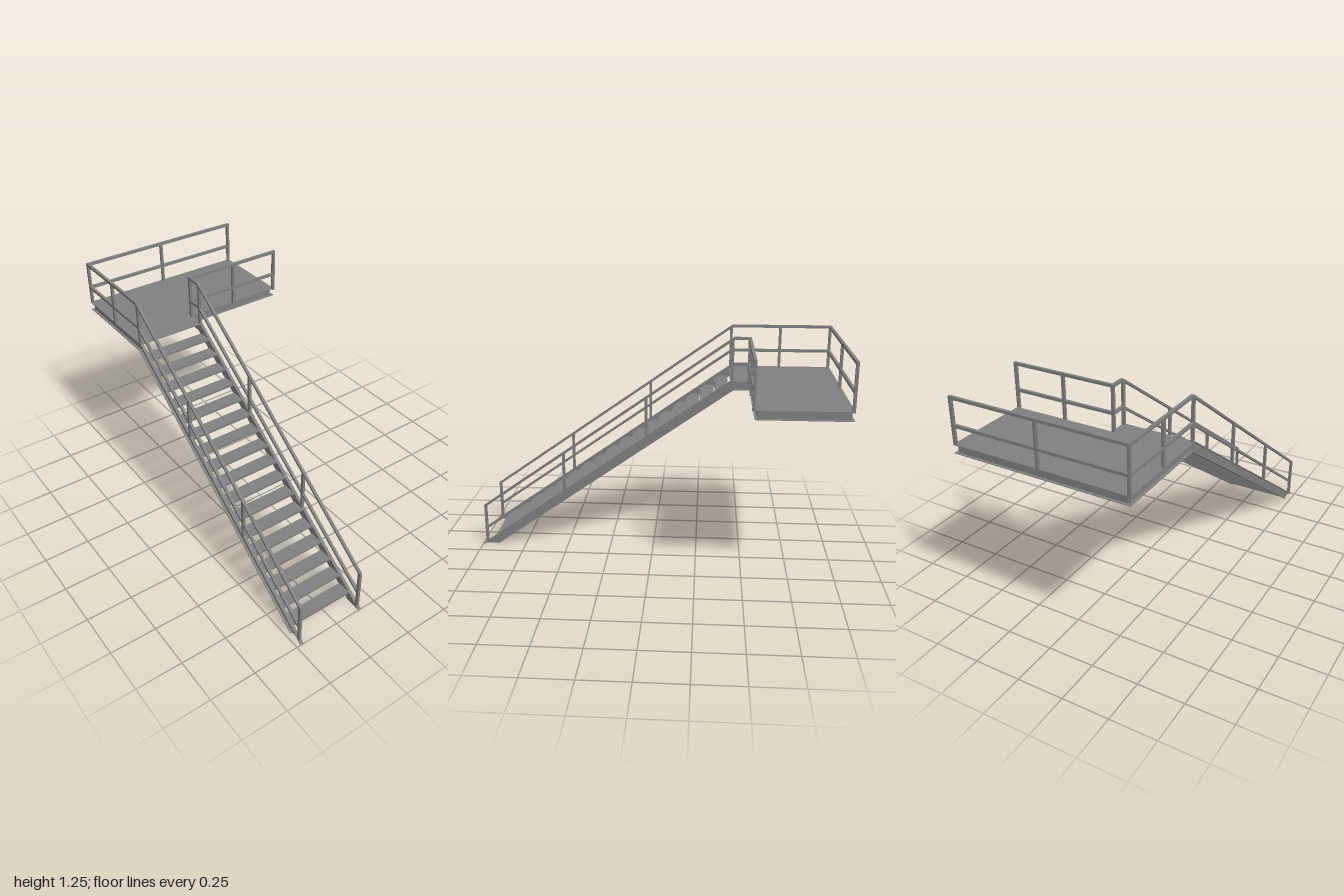
import * as THREE from 'three';

const material = new THREE.MeshStandardMaterial({ color: 0x808080, side: THREE.DoubleSide });

// Main levels and positions
const HALF = 0.476, BACK = -1, FRONT = -0.525;   // landing outline
const TOP = 1.005, UNDER = 0.957;                // landing top and underside
const FLIGHT_TOP = -0.42, SLOPE = TOP / (1 - FLIGHT_TOP);
const WEB = 0.004, FLANGE = 0.017, BAR = 0.015;
const RAIL_X = { right: -0.468, left: -0.095 };  // the two sides of the flight
const RAILS = [0.235, 0.095];                    // hand rail and knee rail heights
const RAIL_BEND = -0.437;                        // where the rails turn level

const floorAt = z => Math.min(TOP, (1 - z) * SLOPE);
const railBaseAt = z => Math.min(TOP, TOP - (z - RAIL_BEND) * SLOPE);

export function createModel() {
  const model = new THREE.Group();
  model.name = 'staircase';

  function group(name) {
    const g = new THREE.Group();
    g.name = name;
    model.add(g);
    return g;
  }

  function add(name, geometry, parent) {
    const mesh = new THREE.Mesh(geometry, material);
    mesh.name = name;
    parent.add(mesh);
  }

  // Box given by its limits
  function box(name, x0, x1, y0, y1, z0, z1, parent) {
    const g = new THREE.BoxGeometry(x1 - x0, y1 - y0, z1 - z0);
    g.translate((x0 + x1) / 2, (y0 + y1) / 2, (z0 + z1) / 2);
    add(name, g, parent);
  }

  // Side outline of [z, y] points extruded from x0 to x1
  function plate(name, points, x0, x1, parent) {
    const shape = new THREE.Shape(points.map(([z, y]) => new THREE.Vector2(-z, y)));
    const g = new THREE.ExtrudeGeometry(shape, { depth: x1 - x0, bevelEnabled: false });
    g.rotateY(Math.PI / 2).translate(x0, 0, 0);
    add(name, g, parent);
  }

  // Strip of constant vertical thickness following a [z, y] path
  function strip(name, path, t, x0, x1, parent) {
    const lower = path.map(([z, y]) => [z, y - t]).reverse();
    plate(name, [...path, ...lower], x0, x1, parent);
  }

  function post(x, z, parent) {
    const h = BAR / 2;
    box('railPost', x - h, x + h, floorAt(z) - 0.004, railBaseAt(z) + RAILS[0] - 0.002,
      z - h, z + h, parent);
  }

  // Stringers: channels with flanges facing away from the treads
  function stringer(name, webX, dir, end) {
    const parent = group(name);
    const wx = [webX, webX + dir * WEB].sort((a, b) => a - b);
    const fx = [webX, webX + dir * FLANGE].sort((a, b) => a - b);
    plate('stringerWeb', [[0.995, 0], [0.915, 0], [-0.44, UNDER], [end, UNDER],
      [end, TOP - 0.004], [FLIGHT_TOP, TOP - 0.004]], wx[0], wx[1], parent);
    plate('topFlange', [[1, 0], [FLIGHT_TOP, TOP], [FLIGHT_TOP, TOP - 0.006], [0.991, 0]],
      fx[0], fx[1], parent);
    strip('bottomFlange', [[0.915, 0.004], [-0.44, UNDER + 0.004], [end, UNDER + 0.004]],
      0.004, fx[0], fx[1], parent);
  }
  stringer('rightStringer', FLANGE - HALF, -1, BACK + FLANGE);
  stringer('leftStringer', -0.104, 1, FRONT - FLANGE);

  // Treads
  const treads = group('treads');
  for (let i = 0; i < 17; i++) {
    const y = 0.0555 * (i + 1), z = 0.918 - 0.0784 * i;
    box('tread', FLANGE - HALF, -0.104, y - 0.006, y + 0.006, z - 0.075, z, treads);
  }

  // Landing: deck plate on a frame of outward-facing channels
  const landing = group('landing');
  box('deck', -HALF, HALF, TOP - 0.005, TOP, BACK, FRONT, landing);
  box('deckExtension', -HALF, -0.087, TOP - 0.005, TOP, FRONT, FLIGHT_TOP, landing);
  const inset = HALF - FLANGE;
  box('backWeb', -inset, inset, UNDER, TOP - 0.004, BACK + FLANGE - WEB, BACK + FLANGE, landing);
  box('backFlange', -HALF, HALF, UNDER, UNDER + 0.003, BACK, BACK + FLANGE, landing);
  box('frontWeb', -inset, inset, UNDER, TOP - 0.004, FRONT - FLANGE, FRONT - FLANGE + WEB, landing);
  box('frontFlange', -inset, HALF, UNDER, UNDER + 0.003, FRONT - FLANGE, FRONT, landing);
  box('sideWeb', inset - WEB, inset, UNDER, TOP - 0.004, BACK + FLANGE, FRONT - FLANGE, landing);
  box('sideFlange', inset, HALF, UNDER, UNDER + 0.003, BACK, FRONT, landing);

  // Railings beside the flight, running level onto the landing
  function flightRailing(name, x, end, levelPosts) {
    const parent = group(name);
    const h = BAR / 2;
    for (const rise of RAILS) {
      const path = [0.982, RAIL_BEND, end - h].map(z => [z, railBaseAt(z) + rise + h]);
      strip('rail', path, BAR, x - h, x + h, parent);
    }
    for (const z of [0.975, 0.508, 0.037, -0.43, ...levelPosts]) post(x, z, parent);
  }
  flightRailing('rightRailing', RAIL_X.right, -0.992, [-0.71, -0.992]);
  flightRailing('leftRailing', RAIL_X.left, -0.52, [-0.52]);

  // Railings across the back and front of the landing
  function landingRailing(name, x0, x1, z) {
    const parent = group(name);
    const h = BAR / 2;
    for (const rise of RAILS) {
      box('rail', x0, x1 + h, TOP + rise - h, TOP + rise + h, z - h, z + h, parent);
    }
    post((x0 + x1) / 2, z, parent);
    post(x1, z, parent);
  }
  landingRailing('backRailing', RAIL_X.right, -RAIL_X.right, -0.992);
  landingRailing('frontRailing', RAIL_X.left, -RAIL_X.right, -0.52);

  return model;
}
